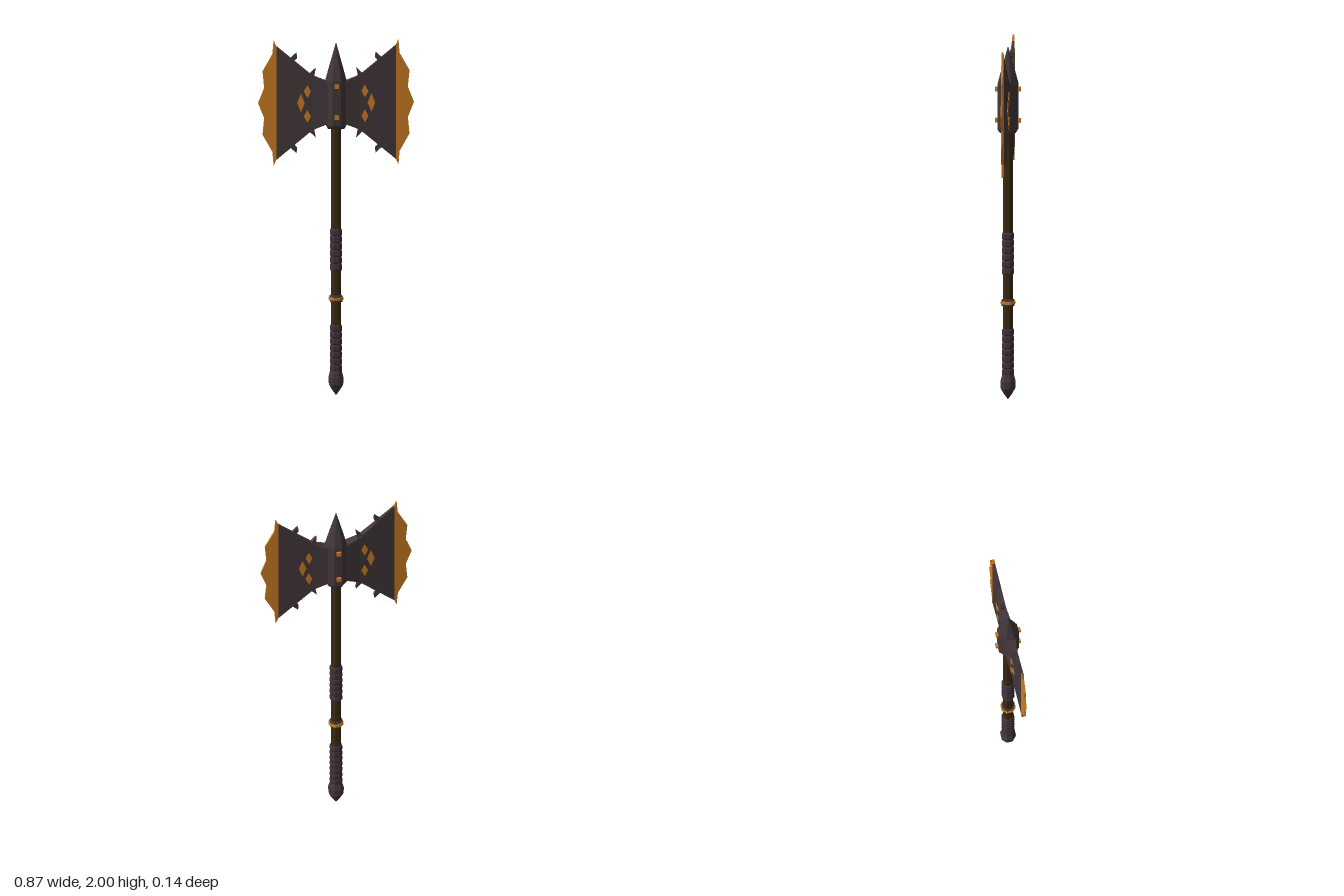
import * as THREE from 'three';

const mat = (name, color) => {
  const m = new THREE.MeshStandardMaterial({ color });
  m.name = name;
  return m;
};

export function createModel() {
  const metal = mat('dark metal', 0x43373a);
  const gold = mat('gold', 0xcb7d22);
  const wood = mat('dark wood', 0x3d2812);
  const leather = mat('grip leather', 0x3f343a);

  const model = new THREE.Group();
  model.name = 'doubleAxe';

  const add = (parent, name, geometry, material) => {
    const flat = geometry.index ? geometry.toNonIndexed() : geometry;
    flat.computeVertexNormals();
    const mesh = new THREE.Mesh(flat, material);
    mesh.name = name;
    parent.add(mesh);
    return mesh;
  };

  // Eight-sided turned part with a flat facing front; profile is [apothem, y] from bottom to top
  const turned = (name, profile, material) => {
    const k = 1 / Math.cos(Math.PI / 8);
    const pts = profile.map(([r, y]) => new THREE.Vector2(r * k, y));
    return add(model, name, new THREE.LatheGeometry(pts, 8, Math.PI / 8), material);
  };

  // Outline extruded both ways along z, with half thickness given by a rule of x
  const plate = (parent, name, outline, half, material) => {
    const shape = new THREE.Shape(outline.map(([x, y]) => new THREE.Vector2(x, y)));
    const g = new THREE.ExtrudeGeometry(shape, { depth: 2, bevelEnabled: false });
    const p = g.attributes.position;
    for (let i = 0; i < p.count; i++) p.setZ(i, (p.getZ(i) - 1) * half(p.getX(i)));
    return add(parent, name, g, material);
  };
  const ramp = (x0, h0, x1, h1) => (x) => h0 + ((h1 - h0) * (x - x0)) / (x1 - x0);

  // Shaft and pommel
  turned('shaft', [[0.0265, 0.1], [0.0265, 1.52]], wood);
  turned('pommel', [[0, 0.004], [0.022, 0.035], [0.039, 0.065], [0.041, 0.105], [0.031, 0.145], [0.027, 0.15]], metal);

  // Ridged grips
  const grip = (name, y0, y1, ridges) => {
    const profile = [[0.026, y0]];
    const step = (y1 - y0) / ridges;
    for (let i = 0; i < ridges; i++) {
      const y = y0 + i * step;
      profile.push([0.03, y + step * 0.02], [0.033, y + step * 0.2], [0.033, y + step * 0.75], [0.03, y + step * 0.95]);
    }
    profile.push([0.026, y1]);
    turned(name, profile, leather);
  };
  grip('lowerGrip', 0.14, 0.4, 7);
  grip('upperGrip', 0.705, 0.94, 6);

  // Collar with a gold band
  turned('collar', [[0.026, 0.526], [0.034, 0.53], [0.036, 0.547], [0.034, 0.564], [0.026, 0.568]], metal);
  turned('collarBand', [[0.034, 0.538], [0.04, 0.54], [0.04, 0.554], [0.034, 0.556]], gold);

  // Head block with a pointed top
  turned('headBlock', [[0, 1.502], [0.045, 1.502], [0.057, 1.522], [0.057, 1.775], [0.04, 1.84], [0, 1.987]], metal);
  for (const y of [1.57, 1.745]) {
    const rivet = add(model, 'rivets', new THREE.BoxGeometry(0.024, 0.024, 0.142), gold);
    rivet.position.y = y;
  }

  // Two blades, the second turned half way round
  const MID = 1.648;
  for (const side of ['left', 'right']) {
    const blade = new THREE.Group();
    blade.name = side + 'Blade';
    blade.position.y = MID;
    if (side === 'right') blade.rotation.y = Math.PI;
    model.add(blade);

    // Mirrors an upper half outline to the lower half
    const mirrored = (upper) => [
      ...upper,
      ...upper.filter(([, y]) => y > 0).map(([x, y]) => [x, -y]).reverse(),
    ];

    plate(blade, 'bladeRoot', mirrored([[0.03, 0.123], [0.053, 0.12], [0.132, 0.152]]),
      ramp(0.06, 0.029, 0.132, 0.0195), metal);
    plate(blade, 'bladeBody', mirrored([[0.132, 0.152], [0.333, 0.32]]),
      ramp(0.132, 0.0195, 0.333, 0.007), metal);
    plate(blade, 'cuttingEdge',
      mirrored([[0.333, 0.32], [0.347, 0.352], [0.354, 0.275], [0.409, 0.178], [0.4, 0.085], [0.434, 0]]),
      ramp(0.333, 0.007, 0.434, 0.003), gold);

    // Thorns along the upper and lower rims
    const thorns = [
      [[0.108, 0.125], [0.121, 0.155], [0.113, 0.195], [0.155, 0.155], [0.155, 0.13]],
      [[0.21, 0.19], [0.231, 0.238], [0.217, 0.252], [0.22, 0.282], [0.256, 0.25], [0.25, 0.21]],
    ];
    thorns.forEach((t, i) => {
      for (const s of [1, -1]) {
        plate(blade, 'thorn', t.map(([x, y]) => [x, y * s]), () => 0.0115 - i * 0.003, metal);
      }
    });

    // Gold diamond inlays showing on both faces
    for (const [x, y, w, h, z] of [
      [0.16, 0.065, 0.019, 0.037, 0.022],
      [0.196, 0, 0.021, 0.053, 0.0185],
      [0.16, -0.075, 0.019, 0.037, 0.022],
    ]) {
      plate(blade, 'diamondInlay', [[x - w, y], [x, y - h], [x + w, y], [x, y + h]], () => z, gold);
    }
  }

  return model;
}
